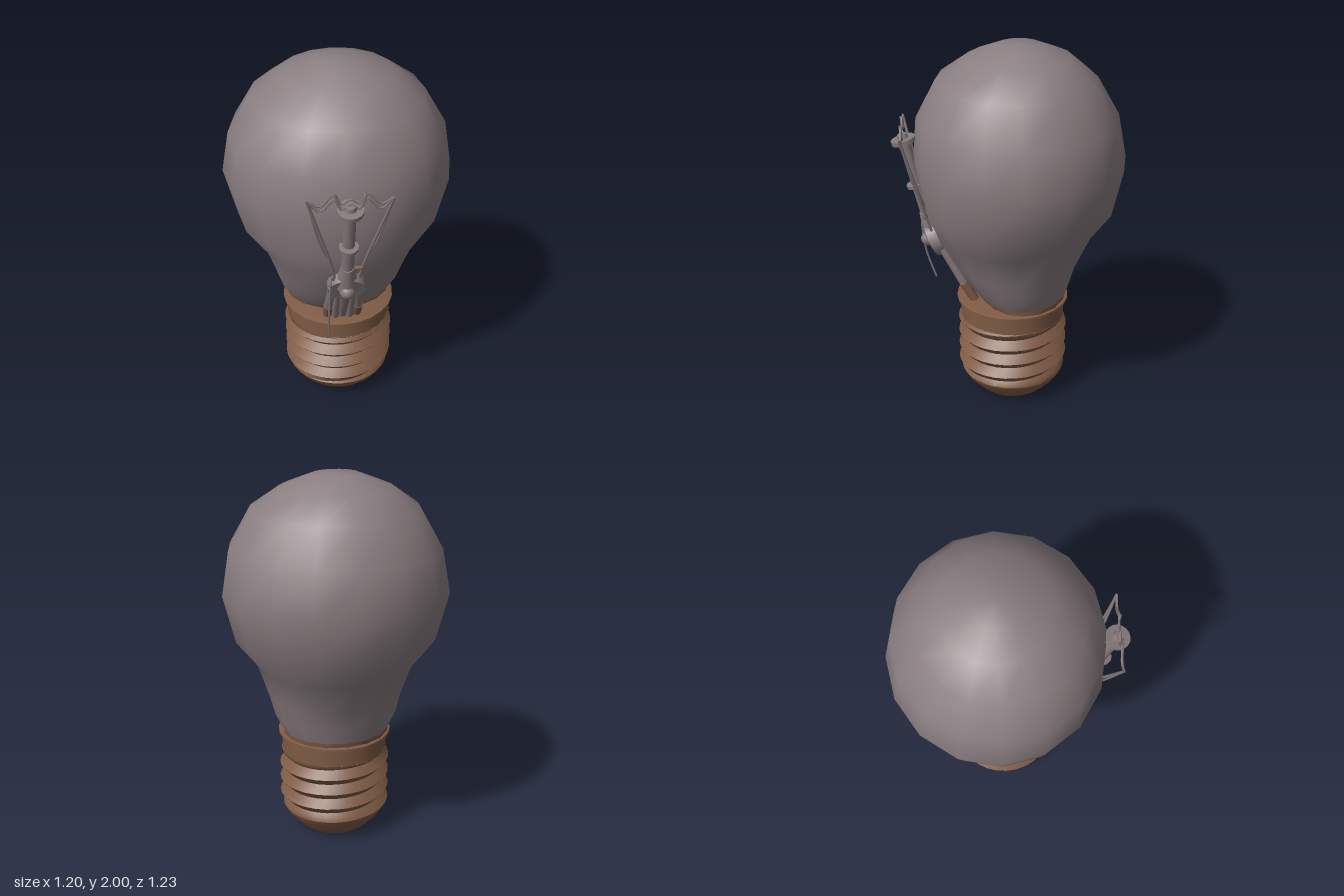
import * as THREE from 'three';
import { toCreasedNormals } from 'three/addons/utils/BufferGeometryUtils.js';

const V = (x, y, z) => new THREE.Vector3(x, y, z);

// Surface through a grid of points; rows run upward, columns run from front towards +x
function gridSurface(rows, closed) {
  const n = rows[0].length, pos = [], idx = [];
  rows.forEach(r => r.forEach(p => pos.push(p.x, p.y, p.z)));
  for (let i = 0; i < rows.length - 1; i++) {
    for (let j = 0; j < (closed ? n : n - 1); j++) {
      const a = i * n + j, b = i * n + (j + 1) % n;
      idx.push(a, b, b + n, a, b + n, a + n);
    }
  }
  const g = new THREE.BufferGeometry();
  g.setAttribute('position', new THREE.Float32BufferAttribute(pos, 3));
  g.setIndex(idx);
  g.computeVertexNormals();
  return g;
}

export function createModel() {
  const group = new THREE.Group();
  const material = (name, color) => {
    const m = new THREE.MeshStandardMaterial({ color, side: THREE.DoubleSide });
    m.name = name;
    return m;
  };
  const glass = material('smoky glass', 0x8a7e81);
  const brass = material('brown brass', 0x7f5b45);
  const wire = material('grey wire', 0x85797b);

  const add = (name, geo, mat, parent = group) => {
    const m = new THREE.Mesh(geo, mat);
    m.name = name;
    parent.add(m);
    return m;
  };
  // Straight round bar between two points
  const rod = (name, p, q, r1, r2, mat, parent, sides = 10) => {
    const d = q.clone().sub(p);
    const g = new THREE.CylinderGeometry(r2, r1, d.length(), sides);
    const m = add(name, g, mat, parent);
    m.position.copy(p).add(q).multiplyScalar(0.5);
    m.quaternion.setFromUnitVectors(V(0, 1, 0), d.normalize());
    return m;
  };
  const tube = (name, pts, r, mat, parent, tension = 0.5) => add(name,
    new THREE.TubeGeometry(new THREE.CatmullRomCurve3(pts, false, 'catmullrom', tension),
      pts.length * 6, r, 5), mat, parent);

  // Glass envelope: [y, half width, front z, back z]
  const ring = ([y, rx, zf, zb]) => Array.from({ length: 16 }, (_, j) => {
    const a = j / 16 * Math.PI * 2, c = Math.cos(a);
    const mid = Math.max(-0.05, (zf + zb) / 2);
    return V(rx * Math.sin(a), y, mid + c * (c > 0 ? zf - mid : mid - zb));
  });
  const neck = [0.61, 0.29, 0.18, -0.31];
  const profile = [
    neck, [0.7, 0.335, 0.25, -0.335], [0.8, 0.36, 0.31, -0.365],
    [0.98, 0.42, 0.41, -0.45], [1.13, 0.535, 0.47, -0.555], [1.39, 0.6, 0.51, -0.61],
    [1.62, 0.56, 0.49, -0.565], [1.82, 0.445, 0.385, -0.45],
    [1.93, 0.29, 0.23, -0.32], [1.995, 0.125, 0.07, -0.16], [2, 0, -0.045, -0.045],
  ];
  add('glassBulb', gridSurface(profile.map(ring), true), glass);
  add('neckCollar', gridSurface([[0.57, 0.285, 0.15, -0.3], neck].map(ring), true), brass);

  // Screw base with a helical thread
  const base = new THREE.Group();
  base.name = 'screwBase';
  base.position.z = -0.012;
  group.add(base);
  const pitch = 0.0875, lo = 0.125, hi = 0.47, sides = 32, rows = [];
  for (let k = -2; k <= 24; k++) {
    const row = [];
    for (let j = 0; j <= sides; j++) {
      const a = (j / sides * 2 - 1) * Math.PI;
      const raw = 0.0925 + (k / 4 + a / (2 * Math.PI)) * pitch;
      const y = THREE.MathUtils.clamp(raw, lo, hi);
      const thread = [0.303, 0.284, 0.264, 0.284][((k % 4) + 4) % 4];
      const fade = Math.min(1, (y - lo) / 0.025, (hi - y) / 0.025);
      const r = THREE.MathUtils.lerp(0.287, thread, fade);
      row.push(V(r * Math.sin(a), y, r * Math.cos(a)));
    }
    rows.push(row);
  }
  add('thread', toCreasedNormals(gridSurface(rows, false), 0.7), brass, base);
  const lathe = (name, pts) => add(name, toCreasedNormals(
    new THREE.LatheGeometry(pts.map(p => new THREE.Vector2(...p)), 24), 0.6), brass, base);
  lathe('bottomCap', [[0, 0], [0.18, 0], [0.215, 0.03], [0.265, 0.085], [0.287, lo]]);
  lathe('upperSleeve', [[0.287, hi], [0.29, 0.565], [0.308, 0.568], [0.308, 0.58],
    [0.29, 0.585], [0, 0.598]]);

  // Stem assembly leaning out in front of the glass
  const stem = new THREE.Group();
  stem.name = 'filamentStem';
  group.add(stem);
  const up = V(0, 0.968, 0.25);
  const along = (p, t) => p.clone().addScaledVector(up, t);
  const top = V(0, 1.495, 0.557), collar = V(0, 1.245, 0.502);
  rod('stemRod', V(0, 1.0, 0.43), top, 0.034, 0.03, wire, stem);
  rod('topDisc', along(top, -0.012), along(top, 0.012), 0.066, 0.066, wire, stem, 16);
  rod('topKnob', top, along(top, 0.035), 0.035, 0.025, wire, stem);
  rod('stemCollar', along(collar, -0.009), along(collar, 0.009), 0.05, 0.05, wire, stem, 12);

  // Round paddle with its button
  const out = V(0, -0.42, 0.907), hub = V(0, 0.93, 0.405);
  const offset = t => hub.clone().addScaledVector(out, t);
  rod('paddle', offset(-0.03), offset(0.025), 0.1, 0.098, wire, stem, 16);
  rod('paddleNeck', V(0, 0.95, 0.405), V(0, 1.09, 0.458), 0.065, 0.034, wire, stem);
  rod('buttonShank', offset(0.02), offset(0.05), 0.025, 0.025, wire, stem);
  const button = add('button', new THREE.SphereGeometry(0.04, 12, 8), wire, stem);
  button.position.set(0, 0.925, 0.447);

  // Legs running down into the base
  rod('middleLeg', V(0, 0.585, 0.2), V(0, 0.9, 0.375), 0.03, 0.04, wire, stem);
  for (const s of [-1, 1]) {
    const side = s > 0 ? 'left' : 'right';
    rod(side + 'LegFoot', V(s * 0.08, 0.585, 0.2), V(s * 0.08, 0.69, 0.26), 0.026, 0.026, brass, stem);
    rod(side + 'Leg', V(s * 0.08, 0.69, 0.26), V(s * 0.065, 0.9, 0.37), 0.024, 0.024, wire, stem);
    rod(side + 'InnerLeg', V(s * 0.04, 0.585, 0.22), V(s * 0.04, 0.86, 0.36), 0.02, 0.02, wire, stem);
    // Wires carrying the filament
    tube(side + 'SupportWire', [V(s * 0.06, 0.98, 0.42), V(s * 0.09, 1.14, 0.465),
      V(s * 0.15, 1.36, 0.52), V(s * 0.205, 1.56, 0.565)], 0.008, wire, stem);
    tube(side + 'BraceWire', [V(s * 0.07, 1.1, 0.44), V(s * 0.14, 1.26, 0.485),
      V(s * 0.205, 1.56, 0.565)], 0.006, wire, stem);
    tube(side + 'FilamentHook', [V(s * 0.03, 1.5, 0.56), V(s * 0.06, 1.54, 0.565),
      V(s * 0.075, 1.6, 0.57)], 0.006, wire, stem);
  }
  rod('brassTab', V(0.035, 1.08, 0.455), V(0.075, 1.08, 0.455), 0.012, 0.012, brass, stem, 6);

  // Two zigzag filament strands
  const zig = [[-0.205, 1.565], [-0.145, 1.535], [-0.08, 1.595], [-0.045, 1.54], [0, 1.565],
    [0.045, 1.54], [0.08, 1.595], [0.145, 1.535], [0.205, 1.565]];
  for (const dy of [0, -0.028]) {
    tube('filament', zig.map(([x, y], i) =>
      V(x, y + (i % 8 ? dy : 0), 0.565)), 0.006, wire, stem);
  }

  // Loose wire hanging in front
  tube('looseWire', [V(-0.07, 1.0, 0.44), V(-0.085, 1.035, 0.475), V(-0.092, 0.96, 0.482),
    V(-0.095, 0.8, 0.462), V(-0.092, 0.64, 0.412)], 0.006, wire, stem);

  return group;
}
